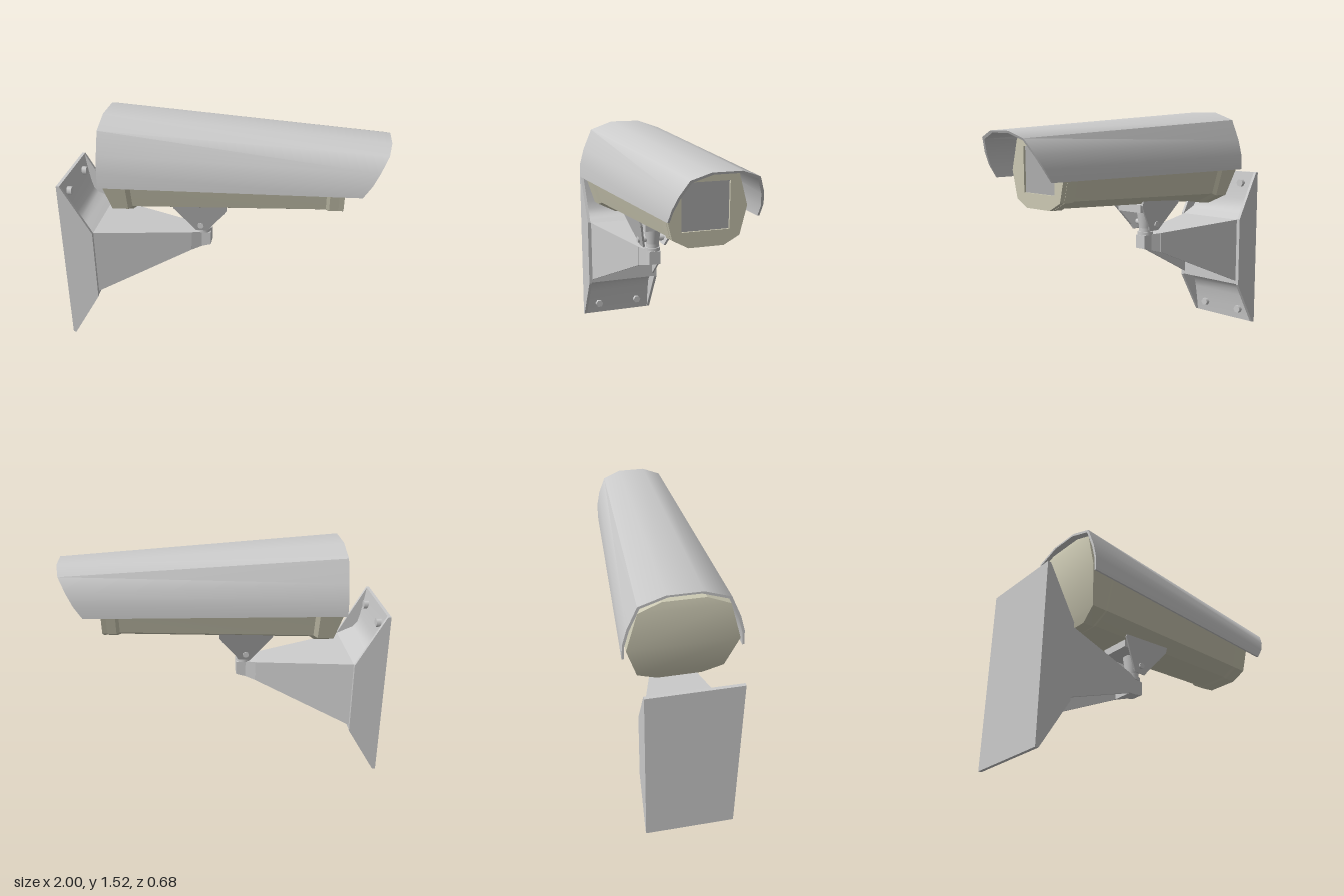
import * as THREE from 'three';
import { toCreasedNormals } from 'three/addons/utils/BufferGeometryUtils.js';

const grey = new THREE.MeshStandardMaterial({ color: 0xcccccc });
const beige = new THREE.MeshStandardMaterial({ color: 0xcdcab4 });
const paneGrey = new THREE.MeshStandardMaterial({ color: 0xaeaeae });

const lerp = THREE.MathUtils.lerp;

// Skin closed rings of [x, y, z] that advance along +x; both ends capped in strips.
function loft(rings, crease) {
  const n = rings[0].length, idx = [];
  const quad = (a, b, c, d) => idx.push(a, b, c, a, c, d);
  for (let i = 0; i < rings.length - 1; i++) {
    for (let j = 0; j < n; j++) {
      const k = (j + 1) % n;
      quad(i * n + j, i * n + k, (i + 1) * n + k, (i + 1) * n + j);
    }
  }
  const e = (rings.length - 1) * n;
  for (let j = 0; j < n / 2 - 1; j++) {
    quad(j, n - 1 - j, n - 2 - j, j + 1);
    quad(e + j, e + j + 1, e + n - 2 - j, e + n - 1 - j);
  }
  const g = new THREE.BufferGeometry();
  g.setAttribute('position', new THREE.Float32BufferAttribute(rings.flat(2), 3));
  g.setIndex(idx);
  return toCreasedNormals(g, crease);
}

// Half outline [z, y] from top to bottom on +z, closed by its mirror image.
const mirrored = (half) => [...half, ...half.map(([z, y]) => [-z, y]).reverse()];

// Channel open at the bottom: outer skin over the top, then the inner skin back.
function channel(half, t) {
  const inner = half.map(([z, y], i) => [Math.max(z - t, 0.01), i === half.length - 1 ? y : y - t]);
  const arch = (h) => [...h.map(([z, y]) => [-z, y]).reverse(), ...h];
  return [...arch(half), ...arch(inner).reverse()];
}

const polygon = (pts) => new THREE.Shape(pts.map(([x, y]) => new THREE.Vector2(x, y)));

// Flat plate in the xy plane, centred on its thickness.
function plate(pts, depth) {
  return new THREE.ExtrudeGeometry(polygon(pts), { depth, bevelEnabled: false }).translate(0, 0, -depth / 2);
}

export function createModel() {
  const model = new THREE.Group();
  const add = (name, geometry, material = grey, x = 0, y = 0, z = 0) => {
    const mesh = new THREE.Mesh(geometry, material);
    mesh.name = name;
    mesh.position.set(x, y, z);
    model.add(mesh);
    return mesh;
  };
  const box = (name, material, w, h, d, x, y, z) =>
    add(name, new THREE.BoxGeometry(w, h, d), material, x, y, z);

  // Wall mount: curved pan between two side flanges
  const lower = [[-0.98, 0], [-0.966, 0.1], [-0.95, 0.19], [-0.935, 0.245], [-0.905, 0.28], [-0.86, 0.298], [-0.8, 0.31]];
  const upper = lower.map(([x, y]) => [x, 1.1 - y]).reverse();
  upper[0][1] = 0.775;
  add('wallPan', toCreasedNormals(plate([[-1, 0], ...lower, ...upper, [-1, 1.1]], 0.5), 0.6));
  for (const s of [-1, 1]) {
    add('wallFlange', plate([[-1, 0], [-0.98, 0], [-0.8, 0.305], [-0.8, 0.78], [-0.98, 1.1], [-1, 1.1]], 0.02),
      grey, 0, 0, s * 0.26);
    for (const y of [0.08, 1.02]) {
      const bolt = add('wallBolt', new THREE.CylinderGeometry(0.028, 0.028, 0.04, 6), grey, -0.96, y, s * 0.155);
      bolt.rotation.z = Math.PI / 2;
    }
  }

  // Arm: tapered channel open below, ending in a solid tip
  const armRings = [[-0.8, 0.245, 0.775, 0.335], [-0.2, 0.075, 0.728, 0.6]].map(([x, w, top, bottom]) =>
    channel([[w, top], [w, bottom]], 0.012).map(([z, y]) => [x, y, z]));
  add('arm', loft(armRings, 0.3));
  const tipRings = [[-0.21, 0.077, 0.729, 0.596], [-0.14, 0.045, 0.722, 0.615], [-0.08, 0.04, 0.718, 0.63]]
    .map(([x, w, top, bottom]) => mirrored([[w, top], [w, bottom]]).map(([z, y]) => [x, y, z]));
  add('armTip', loft(tipRings, 0.2));

  // Swivel joint
  add('swivelCollar', new THREE.CylinderGeometry(0.052, 0.052, 0.022, 20), grey, -0.13, 0.73, 0);
  add('swivelNeck', new THREE.CylinderGeometry(0.042, 0.042, 0.04, 20), grey, -0.13, 0.755, 0);
  add('swivelColumn', new THREE.CylinderGeometry(0.06, 0.042, 0.12, 20), grey, -0.13, 0.825, 0);
  const pivot = add('pivotBolt', new THREE.CylinderGeometry(0.02, 0.02, 0.21, 8), grey, -0.135, 0.797, 0);
  pivot.rotation.x = Math.PI / 2;

  // Saddle: two splayed cheek plates joined below the housing
  const cheek = [[-0.17, 0], [-0.09, 0], [-0.075, 0.03], [0.04, 0.19], [0.04, 0.23], [-0.3, 0.22], [-0.3, 0.19], [-0.19, 0.03]];
  for (const s of [-1, 1]) {
    add('saddleCheek', plate(cheek, 0.014), grey, 0, 0.755, s * 0.072).rotation.x = s * 0.33;
  }
  box('saddleBridge', grey, 0.3, 0.05, 0.2, -0.13, 0.91, 0);

  // Housing: ten-sided tapered body with a raised rim at each end
  const rear = [[0.12, 1.475], [0.25, 1.425], [0.315, 1.19], [0.25, 0.963], [0.13, 0.903]];
  const front = [[0.085, 1.405], [0.19, 1.365], [0.242, 1.18], [0.2, 1.015], [0.105, 0.965]];
  const section = (x, scale) => {
    const t = (x + 0.63) / 1.38;
    return mirrored(rear.map(([z, y], i) => [
      lerp(z, front[i][0], t) * scale,
      1.185 + (lerp(y, front[i][1], t) - 1.185) * scale,
    ]));
  };
  const ring = (x, scale) => section(x, scale).map(([z, y]) => [x, y, z]);
  // The rear end bulges, leaning back towards its middle
  const back = section(-0.63, 1).map(([z, y]) => [-0.722 + 0.6 * (y - 1.29) ** 2, y, z]);
  const bodyRings = [back, ring(-0.56, 1), ring(-0.535, 0.945), ring(0.645, 0.96), ring(0.665, 1), ring(0.72, 1)];
  add('housing', loft(bodyRings, 0.35), beige);

  // Front bezel with a square window
  const bezel = polygon(section(0.75, 1));
  bezel.holes.push(new THREE.Path([[-0.155, 1.04], [-0.155, 1.335], [0.155, 1.335], [0.155, 1.04]]
    .map(([x, y]) => new THREE.Vector2(x, y))));
  const bezelGeometry = new THREE.ExtrudeGeometry(bezel, { depth: 0.03, bevelEnabled: false });
  add('frontBezel', bezelGeometry.rotateY(Math.PI / 2), beige, 0.72, 0, 0);
  for (const s of [-1, 1]) {
    box('windowFrameSide', beige, 0.02, 0.295, 0.012, 0.73, 1.1875, s * 0.149);
    box('windowFrameEdge', beige, 0.02, 0.012, 0.31, 0.73, 1.1875 + s * 0.1415, 0);
  }
  box('windowPane', paneGrey, 0.01, 0.285, 0.3, 0.722, 1.1875, 0);

  // Sunshield: thin arched hood, its nose swept back towards the lower edge
  const hoodRear = [[0.1, 1.522], [0.25, 1.47], [0.308, 1.335], [0.335, 1.235], [0.34, 1.14]];
  const hoodFront = [[0.085, 1.416], [0.195, 1.378], [0.24, 1.29], [0.262, 1.215], [0.266, 1.14]];
  const noseX = (y) => lerp(0.85, 1, Math.pow(Math.max(0, (y - 1.14) / 0.276), 0.85));
  const hoodRings = [
    channel(hoodRear, 0.012).map(([z, y]) => [-0.715, y, z]),
    channel(hoodFront, 0.012).map(([z, y]) => [noseX(y), y, z]),
  ];
  add('sunshield', loft(hoodRings, 0.8));

  return model;
}
